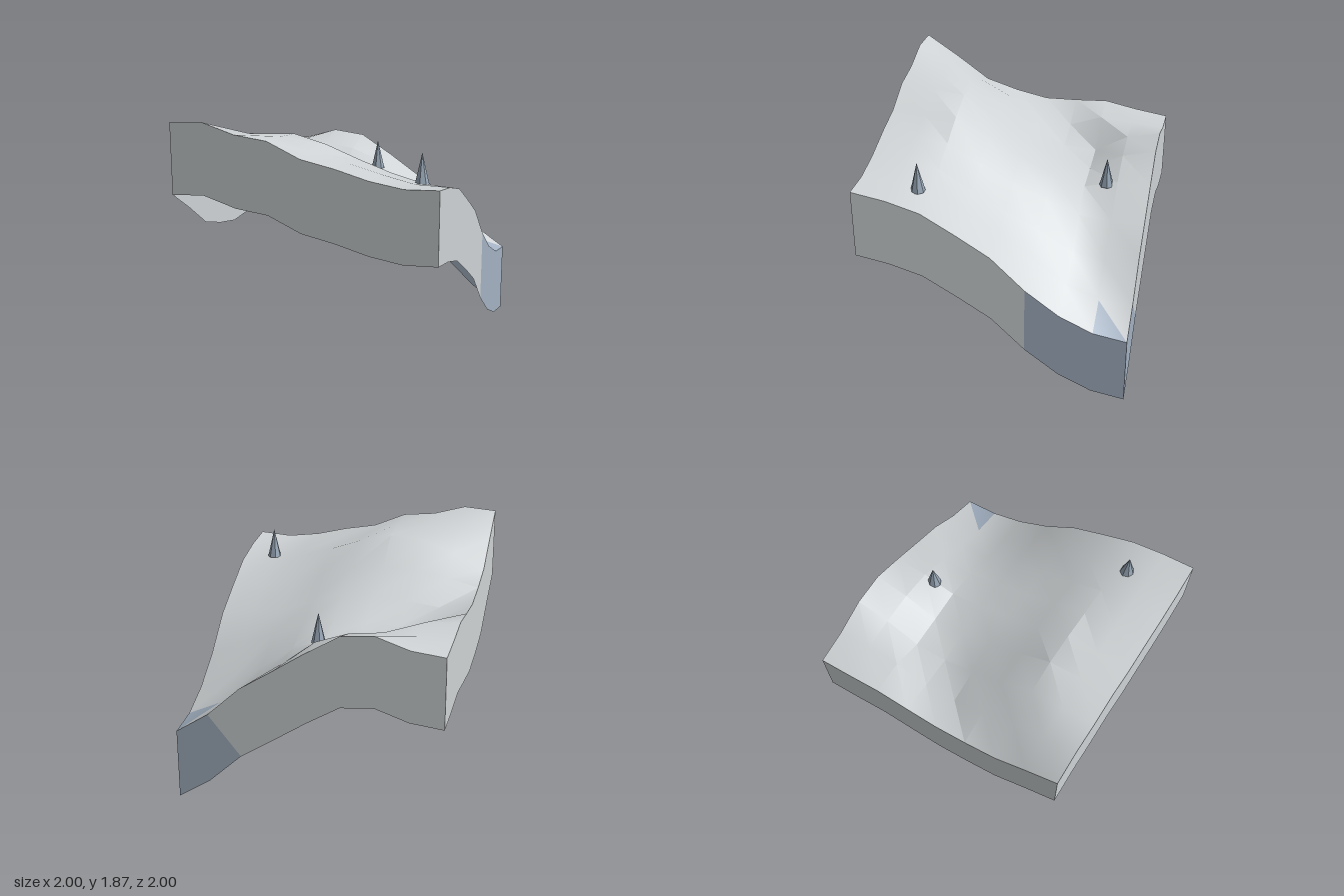
import * as THREE from 'three';
import { toCreasedNormals } from 'three/addons/utils/BufferGeometryUtils.js';

const N = 8;        // cells per side
const DROP = 0.535; // height of the side walls

// Ground heights, rows from back to front, left to right along x
const HEIGHTS = [
  [1.325, 1.35, 1.43, 1.405, 1.255, 1.09, 0.93, 0.70, 0.537],
  [1.36, 1.365, 1.37, 1.34, 1.25, 1.06, 0.87, 0.69, 0.575],
  [1.408, 1.385, 1.22, 1.195, 1.18, 1.08, 0.91, 0.79, 0.69],
  [1.39, 1.29, 1.235, 1.25, 1.26, 1.19, 1.07, 0.98, 0.875],
  [1.38, 1.33, 1.36, 1.38, 1.37, 1.29, 1.20, 1.165, 1.12],
  [1.43, 1.49, 1.53, 1.53, 1.51, 1.43, 1.34, 1.305, 1.275],
  [1.505, 1.62, 1.70, 1.72, 1.66, 1.57, 1.49, 1.43, 1.42],
  [1.685, 1.75, 1.755, 1.75, 1.655, 1.60, 1.54, 1.49, 1.49],
  [1.85, 1.867, 1.795, 1.768, 1.66, 1.613, 1.55, 1.515, 1.53],
];

export function createModel() {
  const model = new THREE.Group();
  model.name = 'terrainTile';

  const ground = new THREE.MeshStandardMaterial({ color: 0xcfd3d5, side: THREE.DoubleSide });
  ground.name = 'pale grey ground';
  const water = new THREE.MeshStandardMaterial({ color: 0xa3b1c2, side: THREE.DoubleSide });
  water.name = 'blue grey';
  const spikeMat = new THREE.MeshStandardMaterial({ color: 0x97a6b6, flatShading: true });
  spikeMat.name = 'spike blue grey';

  const addGroups = (geo, start, count) => {
    const total = geo.attributes.position.count;
    geo.clearGroups();
    geo.addGroup(0, start, 0);
    geo.addGroup(start, count, 1);
    geo.addGroup(start + count, total - start - count, 0);
  };

  // Hilly surface, creased at the steep folds, with one blue triangle at the low corner
  const plane = new THREE.PlaneGeometry(2, 2, N, N).rotateX(-Math.PI / 2);
  const pos = plane.attributes.position;
  for (let i = 0; i < pos.count; i++) {
    pos.setY(i, HEIGHTS[Math.floor(i / (N + 1))][i % (N + 1)]);
  }
  const top = toCreasedNormals(plane, 0.45);
  addGroups(top, (N - 1) * 6 + 3, 3);
  const surface = new THREE.Mesh(top, [ground, water]);
  surface.name = 'hillSurface';
  model.add(surface);

  // Perimeter walk: front, right side, back, left side
  const rim = [];
  const rimPoint = (ix, iz) =>
    rim.push(new THREE.Vector3(ix * 2 / N - 1, HEIGHTS[iz][ix], iz * 2 / N - 1));
  for (let i = 0; i < N; i++) rimPoint(i, N);
  for (let i = 0; i < N; i++) rimPoint(N, N - i);
  for (let i = 0; i < N; i++) rimPoint(N - i, 0);
  for (let i = 0; i < N; i++) rimPoint(0, i);

  // Walls hang a constant height below the rim; the underside stays open
  const corners = [];
  rim.forEach((a, i) => {
    const b = rim[(i + 1) % rim.length];
    const aLow = a.clone().setY(a.y - DROP);
    const bLow = b.clone().setY(b.y - DROP);
    corners.push(a, aLow, bLow, a, bLow, b);
  });
  const wallGeo = new THREE.BufferGeometry().setFromPoints(corners);
  wallGeo.computeVertexNormals();
  addGroups(wallGeo, 26 * 3, 9 * 3);
  const walls = new THREE.Mesh(wallGeo, [ground, water]);
  walls.name = 'sideWalls';
  model.add(walls);

  // Small faceted spikes standing on the ground
  const spikeGeo = new THREE.ConeGeometry(0.054, 0.227, 7).translate(0, 0.1135, 0);
  [[0.75, 1.45, 0.583], [0, 1.215, -0.667]].forEach(([x, y, z], i) => {
    const spike = new THREE.Mesh(spikeGeo, spikeMat);
    spike.name = i ? 'backSpike' : 'frontSpike';
    spike.position.set(x, y, z);
    model.add(spike);
  });

  return model;
}
